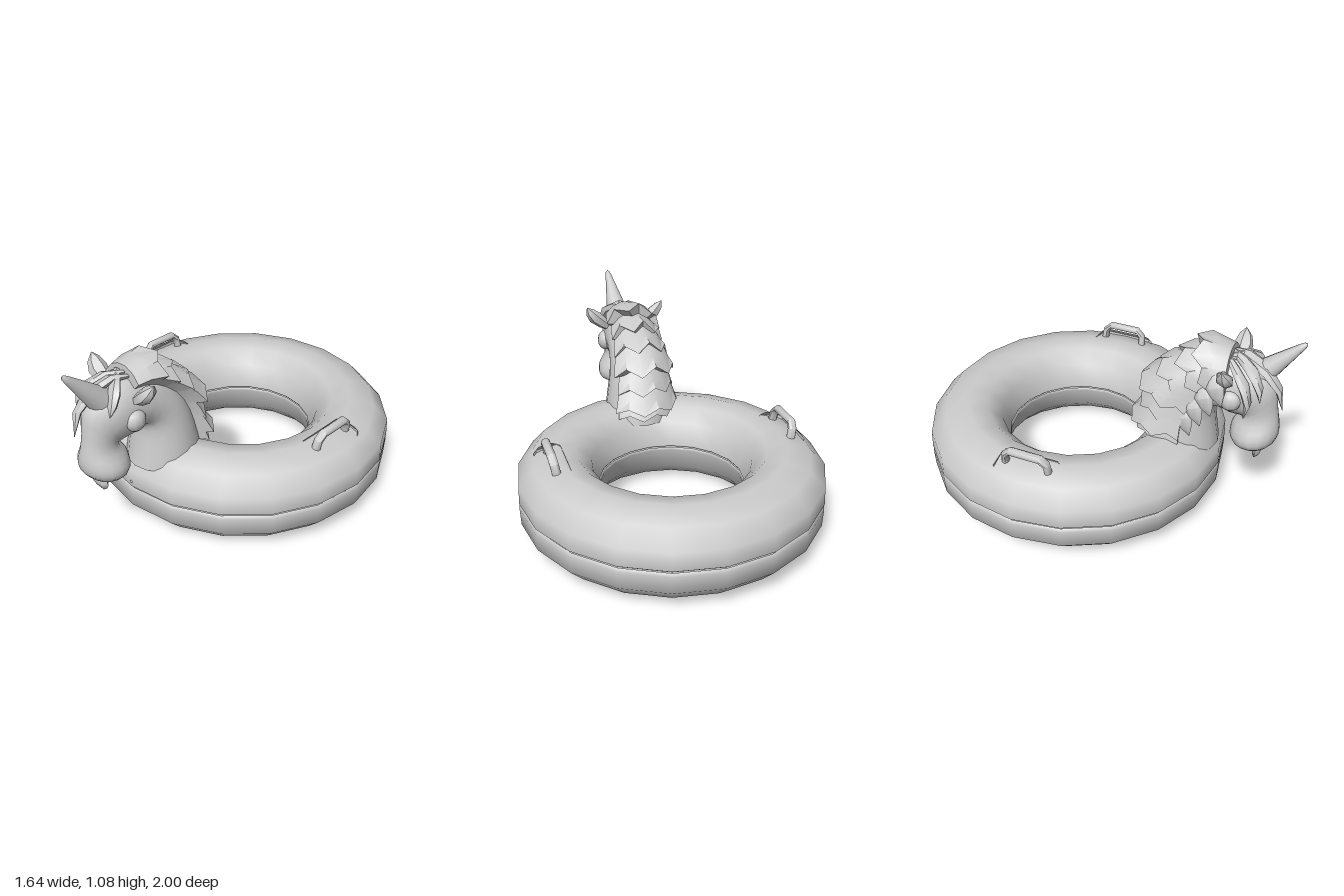
import * as THREE from 'three';
import { toCreasedNormals } from 'three/addons/utils/BufferGeometryUtils.js';

const V = (x, y, z) => new THREE.Vector3(x, y, z);
const vinyl = new THREE.MeshStandardMaterial({ color: 0xcccccc });
vinyl.name = 'pale grey vinyl';

function add(parent, name, geometry, position, scale) {
  const mesh = new THREE.Mesh(geometry, vinyl);
  mesh.name = name;
  if (position) mesh.position.copy(position);
  if (scale) mesh.scale.copy(scale);
  parent.add(mesh);
  return mesh;
}

// Skin a list of equal-length rings and close both ends
function loft(rings, crease = 0.7) {
  const n = rings[0].length, pos = [], index = [];
  rings.forEach(r => r.forEach(p => pos.push(p.x, p.y, p.z)));
  for (let i = 0; i < rings.length - 1; i++) {
    for (let j = 0; j < n; j++) {
      const a = i * n + j, b = i * n + (j + 1) % n;
      index.push(a, a + n, b, b, a + n, b + n);
    }
  }
  [0, rings.length - 1].forEach((r, end) => {
    const c = V(0, 0, 0);
    rings[r].forEach(p => c.add(p));
    c.divideScalar(n);
    const k = pos.length / 3;
    pos.push(c.x, c.y, c.z);
    for (let j = 0; j < n; j++) {
      const a = r * n + j, b = r * n + (j + 1) % n;
      if (end) index.push(k, b, a); else index.push(k, a, b);
    }
  });
  const g = new THREE.BufferGeometry();
  g.setAttribute('position', new THREE.Float32BufferAttribute(pos, 3));
  g.setIndex(index);
  return toCreasedNormals(g, crease);
}

// Neck and head sections: throat z,y; back z,y; half width
const SECTIONS = [
  [.62, .38, .22, .38, .19], [.60, .50, .25, .50, .175], [.59, .60, .29, .64, .155],
  [.61, .64, .37, .78, .14], [.64, .635, .52, .90, .13], [.68, .61, .67, .935, .125],
  [.72, .61, .78, .91, .12], [.74, .60, .88, .84, .10], [.72, .59, .905, .70, .085],
  [.69, .56, .92, .62, .095], [.68, .50, .93, .55, .13], [.70, .455, .92, .49, .125],
  [.76, .43, .88, .445, .08],
];
const MID = 0.015;
const throat = new THREE.CatmullRomCurve3(SECTIONS.map(s => V(0, s[1], s[0])), false, 'catmullrom');
const back = new THREE.CatmullRomCurve3(SECTIONS.map(s => V(s[4], s[3], s[2])), false, 'catmullrom');

// Point on the body at section t, angle a from the crest (+a towards +x), lifted outwards
function bodyPoint(t, a, lift = 0) {
  const k = THREE.MathUtils.clamp(t / (SECTIONS.length - 1), 0, 1);
  const p = throat.getPoint(k), q = back.getPoint(k), w = q.x;
  q.x = 0;
  const u = q.clone().sub(p).multiplyScalar(0.5);
  const out = u.clone().normalize().multiplyScalar(Math.cos(a)).add(V(Math.sin(a), 0, 0));
  return p.add(q).multiplyScalar(0.5).addScaledVector(u, Math.cos(a))
    .add(V(MID + w * Math.sin(a), 0, 0)).addScaledVector(out, lift);
}

// Tuft of mane: a curved shell with a ragged, flared lower edge
function tuft(t0, t1, lift0, lift1) {
  const steps = 8, from = -1.75, to = 0.75;
  return loft([[t0, lift0], [(t0 + t1) / 2, (lift0 + lift1) / 2], [t1, lift1]].map(([t, lift], row) => {
    const ring = [];
    for (let i = 0; i <= steps; i++) {
      const a = from + (to - from) * i / steps;
      const jag = row === 0 ? (i % 2 ? 0.18 : -0.08) : 0;
      ring.push(bodyPoint(t + jag, a, 0.012 + lift * Math.max(0.15, Math.cos(a * 0.95))));
    }
    for (let i = steps; i >= 0; i--) {
      ring.push(bodyPoint(t, from + (to - from) * i / steps, -0.02));
    }
    return ring;
  }), 0.45);
}

// Leaf-shaped lock along a path, flat across the given width direction
function leaf(points, width, thick, across) {
  const curve = new THREE.CatmullRomCurve3(points);
  const W = across.clone().normalize();
  const sizes = [0.45, 0.85, 1, 0.7, 0.04];
  return loft(sizes.map((s, i) => {
    const t = i / (sizes.length - 1), c = curve.getPoint(t);
    const N = curve.getTangent(t).cross(W).normalize();
    return Array.from({ length: 6 }, (_, j) => {
      const a = j / 6 * Math.PI * 2 + Math.PI / 6;
      return c.clone().addScaledVector(N, Math.cos(a) * thick * s)
        .addScaledVector(W, Math.sin(a) * width * s);
    });
  }));
}

function buildRing(parent) {
  const ring = new THREE.Group();
  ring.name = 'swimRing';
  ring.position.set(0, 0.235, -0.18);
  parent.add(ring);
  // Half profile from the outer seam over the top to the inner seam
  const half = [[.803, .003], [.819, .016], [.815, .11], [.735, .195], [.605, .235],
    [.50, .215], [.425, .14], [.388, .016], [.398, .003]].map(([x, y]) => new THREE.Vector2(x, y));
  add(ring, 'upperTube', new THREE.LatheGeometry(half, 20));
  const lower = half.map(p => new THREE.Vector2(p.x, -p.y)).reverse();
  add(ring, 'lowerTube', new THREE.LatheGeometry(lower, 20));
  add(ring, 'valve', new THREE.SphereGeometry(0.007, 8, 6), V(0, 0.045, 0.818));
}

function buildHandle(parent, side) {
  const handle = new THREE.Group();
  handle.name = side > 0 ? 'leftHandle' : 'rightHandle';
  handle.position.set(side * 0.635, 0.455, -0.17);
  handle.rotation.z = -side * 0.17;
  parent.add(handle);
  // Bevelled base pad
  const pad = (w, l, y) => [[-1, -.85], [-.75, -1], [.75, -1], [1, -.85], [1, .85], [.75, 1], [-.75, 1], [-1, .85]]
    .map(([x, z]) => V(x * w, y, z * l)).reverse();
  add(handle, 'handleBase', loft([pad(.073, .16, -.02), pad(.073, .16, .006), pad(.05, .142, .03)], 0.5));
  // Arched grip
  const path = new THREE.CurvePath();
  const pts = [V(0, 0, -.118), V(0, .05, -.113), V(0, .08, -.083), V(0, .08, .083), V(0, .05, .113), V(0, 0, .118)];
  for (let i = 0; i < pts.length - 1; i++) path.add(new THREE.LineCurve3(pts[i], pts[i + 1]));
  const rings = pts.map((p, i) => {
    const d = pts[Math.min(i + 1, 5)].clone().sub(pts[Math.max(i - 1, 0)]).normalize();
    const n = d.clone().cross(V(1, 0, 0));
    return Array.from({ length: 8 }, (_, j) => {
      const a = (j + .5) / 8 * Math.PI * 2;
      return p.clone().addScaledVector(n, Math.cos(a) * .02).add(V(Math.sin(a) * .024, 0, 0));
    });
  });
  add(handle, 'handleGrip', loft(rings, 0.9));
}

function buildHead(parent) {
  const head = new THREE.Group();
  head.name = 'hornedHorse';
  parent.add(head);
  const rings = [];
  for (let t = 0; t <= SECTIONS.length - 1; t += 0.5) {
    rings.push(Array.from({ length: 16 }, (_, j) => bodyPoint(t, j / 16 * Math.PI * 2)));
  }
  add(head, 'neckAndHead', loft(rings, 1.1));

  // Horn leaning forward
  const base = V(0.022, 0.86, 0.80), tip = V(0.03, 1.075, 1.0);
  const dir = tip.clone().sub(base), len = dir.length();
  const profile = [[.066, 0], [.058, .15], [.042, .45], [.02, .85], [.012, .96], [0, 1]]
    .map(([r, y]) => new THREE.Vector2(r, y * len));
  const horn = add(head, 'horn', new THREE.LatheGeometry(profile, 12), base);
  horn.quaternion.setFromUnitVectors(V(0, 1, 0), dir.normalize());

  // Paired ears, eyes and nostrils
  for (const s of [-1, 1]) {
    const at = (x, y, z) => V(MID + s * x, y, z);
    add(head, 'ear', leaf([at(.07, .82, .66), at(.15, .875, .665), at(.20, .925, .665), at(.225, .965, .66)],
      .048, .038, V(s * .3, -.3, 1)));
    add(head, 'eye', new THREE.SphereGeometry(1, 10, 8), at(.118, .745, .69), V(.042, .056, .056));
    const nostril = add(head, 'nostril', new THREE.TorusGeometry(.024, .009, 6, 10), at(.082, .525, .882));
    nostril.rotation.y = s * 0.7;
  }

  // Tongue hanging below the muzzle
  add(head, 'tongue', leaf([V(.01, .47, .83), V(.01, .42, .835), V(.01, .385, .83), V(.01, .34, .82)],
    .06, .024, V(1, 0, 0)));

  // Mane tufts down the neck: section range, lift at lower and upper edge
  const mane = [[4.0, 4.9, .10, .04], [3.5, 4.3, .08, .03], [2.95, 3.7, .09, .04], [2.3, 3.1, .12, .07],
    [1.6, 2.4, .07, .04], [0.9, 1.8, .095, .04], [0.5, 1.2, .05, .03]];
  mane.forEach(row => add(head, 'maneTuft', tuft(...row)));

  // Locks falling on the right side of the neck
  for (let i = 0; i < 4; i++) {
    const y = .86 - i * .075, z = .60 - i * .05;
    add(head, 'sideLock', leaf([V(-.085, y + .05, z), V(-.135, y, z + .01), V(-.15, y - .06, z + .03),
      V(-.15, y - .13, z + .06)], .05, .02, V(0, .4, 1)));
  }

  // Forelock around the horn
  const forelock = [
    [V(.05, .94, .66), V(.01, .94, .76), V(-.02, .85, .89), V(-.02, .70, .935)],
    [V(.02, .95, .66), V(-.05, .93, .75), V(-.09, .86, .82), V(-.12, .78, .84)],
    [V(-.02, .94, .64), V(-.09, .88, .72), V(-.12, .79, .78), V(-.14, .68, .77)],
    [V(-.02, .95, .66), V(.06, .93, .74), V(.10, .87, .79), V(.11, .81, .82)],
  ];
  forelock.forEach(path => add(head, 'forelock', leaf(path, .045, .025, V(1, .4, 0))));
}

export function createModel() {
  const model = new THREE.Group();
  model.name = 'inflatableSwimRing';
  buildRing(model);
  buildHandle(model, 1);
  buildHandle(model, -1);
  buildHead(model);
  return model;
}
